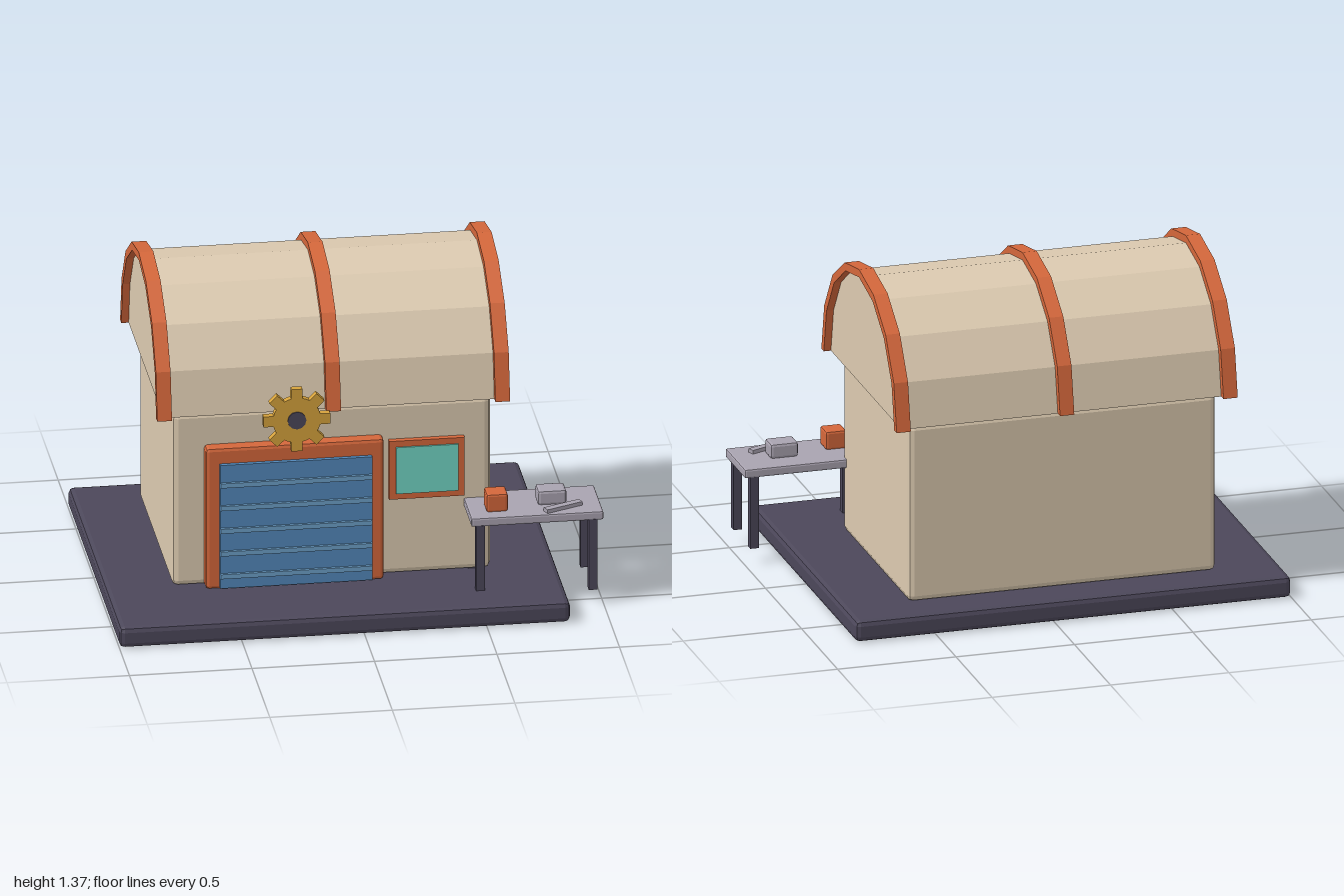
import * as THREE from 'three';
import { RoundedBoxGeometry } from 'three/addons/geometries/RoundedBoxGeometry.js';

const paint = (name, color) => {
  const m = new THREE.MeshStandardMaterial({ color });
  m.name = name;
  return m;
};

export function createModel() {
  const model = new THREE.Group();
  model.name = 'workshop';

  const slate = paint('slate', 0x4c475a);
  const sand = paint('sand', 0xdccab0);
  const rust = paint('rust', 0xd4673b);
  const blue = paint('blue', 0x5288ba);
  const paleBlue = paint('paleBlue', 0x6c9fc8);
  const aqua = paint('aqua', 0x72d6c4);
  const brass = paint('brass', 0xd6a23c);
  const steel = paint('steel', 0xa9a3b0);

  const add = (name, geometry, material, parent = model) => {
    const mesh = new THREE.Mesh(geometry, material);
    mesh.name = name;
    parent.add(mesh);
    return mesh;
  };

  // Box given by its limits; a bevel cuts flat chamfers on the edges
  const box = (name, material, [x0, x1], [y0, y1], [z0, z1], bevel = 0, parent = model) => {
    const size = [x1 - x0, y1 - y0, z1 - z0];
    const g = bevel ? new RoundedBoxGeometry(...size, 1, bevel) : new THREE.BoxGeometry(...size);
    if (bevel) g.computeVertexNormals();
    const mesh = add(name, g, material, parent);
    mesh.position.set((x0 + x1) / 2, (y0 + y1) / 2, (z0 + z1) / 2);
    return mesh;
  };

  // Ground slab and walls
  box('base', slate, [-1, 0.84], [0, 0.09], [-0.73, 0.73], 0.022);
  box('walls', sand, [-0.73, 0.57], [0.09, 0.852], [-0.572, 0.343], 0.025);

  // Barrel roof: eight-sided half round, extruded along x
  const arc = (r) => Array.from({ length: 9 }, (_, i) => {
    const a = (i * Math.PI) / 8;
    return new THREE.Vector2(r * Math.cos(a), r * Math.sin(a));
  });
  const alongX = (name, points, x0, x1, material) => {
    const g = new THREE.ExtrudeGeometry(new THREE.Shape(points), { depth: x1 - x0, bevelEnabled: false });
    const mesh = add(name, g, material);
    mesh.rotation.y = Math.PI / 2;
    mesh.position.set(x0, 0.85, -0.115);
  };
  alongX('roof', arc(0.49), -0.77, 0.61, sand);
  for (const x of [-0.77, -0.08, 0.61]) {
    alongX('roofRib', [...arc(0.522), ...arc(0.488).reverse()], x - 0.03, x + 0.03, rust);
  }

  // Roller door
  const door = new THREE.Group();
  door.name = 'rollerDoor';
  model.add(door);
  box('doorFrame', rust, [-0.6, 0.128], [0.09, 0.71], [0.33, 0.392], 0.015, door);
  box('doorPanel', blue, [-0.543, 0.077], [0.1, 0.642], [0.36, 0.41], 0, door);
  for (let i = 0; i < 5; i++) {
    const y = 0.156 + i * 0.1;
    box('doorSlat', paleBlue, [-0.543, 0.077], [y - 0.01, y + 0.01], [0.405, 0.422], 0, door);
  }

  // Window
  box('windowFrame', rust, [0.152, 0.46], [0.43, 0.686], [0.335, 0.368]);
  box('windowPane', aqua, [0.18, 0.434], [0.456, 0.66], [0.367, 0.375]);

  // Gear sign with eight teeth
  const outline = [];
  for (let i = 0; i < 8; i++) {
    const a = (i * Math.PI) / 4;
    for (const [r, t] of [[0.098, -0.24], [0.138, -0.165], [0.138, 0.165], [0.098, 0.24], [0.098, Math.PI / 8]]) {
      outline.push(new THREE.Vector2(r * Math.cos(a + t), r * Math.sin(a + t)));
    }
  }
  const gear = add('gear', new THREE.ExtrudeGeometry(new THREE.Shape(outline), { depth: 0.03, bevelEnabled: false }), brass);
  gear.position.set(-0.235, 0.835, 0.41);
  const hub = add('gearHub', new THREE.CylinderGeometry(0.038, 0.038, 0.04, 12), slate);
  hub.rotation.x = Math.PI / 2;
  hub.position.set(-0.235, 0.835, 0.425);

  // Workbench
  const bench = new THREE.Group();
  bench.name = 'workbench';
  model.add(bench);
  box('benchTop', steel, [0.46, 1], [0.37, 0.408], [0.285, 0.558], 0.008, bench);
  for (const x of [0.497, 0.957]) {
    for (const z of [0.309, 0.54]) {
      box('benchLeg', slate, [x - 0.018, x + 0.018], [0.065, 0.375], [z - 0.018, z + 0.018], 0, bench);
    }
  }

  // Things on the bench
  box('toolBox', rust, [0.53, 0.618], [0.406, 0.485], [0.415, 0.503], 0.01, bench);
  box('metalBlock', steel, [0.745, 0.863], [0.406, 0.47], [0.377, 0.464], 0.012, bench);
  const bar = box('metalBar', steel, [0.76, 0.925], [0.406, 0.424], [0.488, 0.518], 0, bench);
  bar.position.z = 0.502;
  bar.rotation.y = 0.4;

  return model;
}
